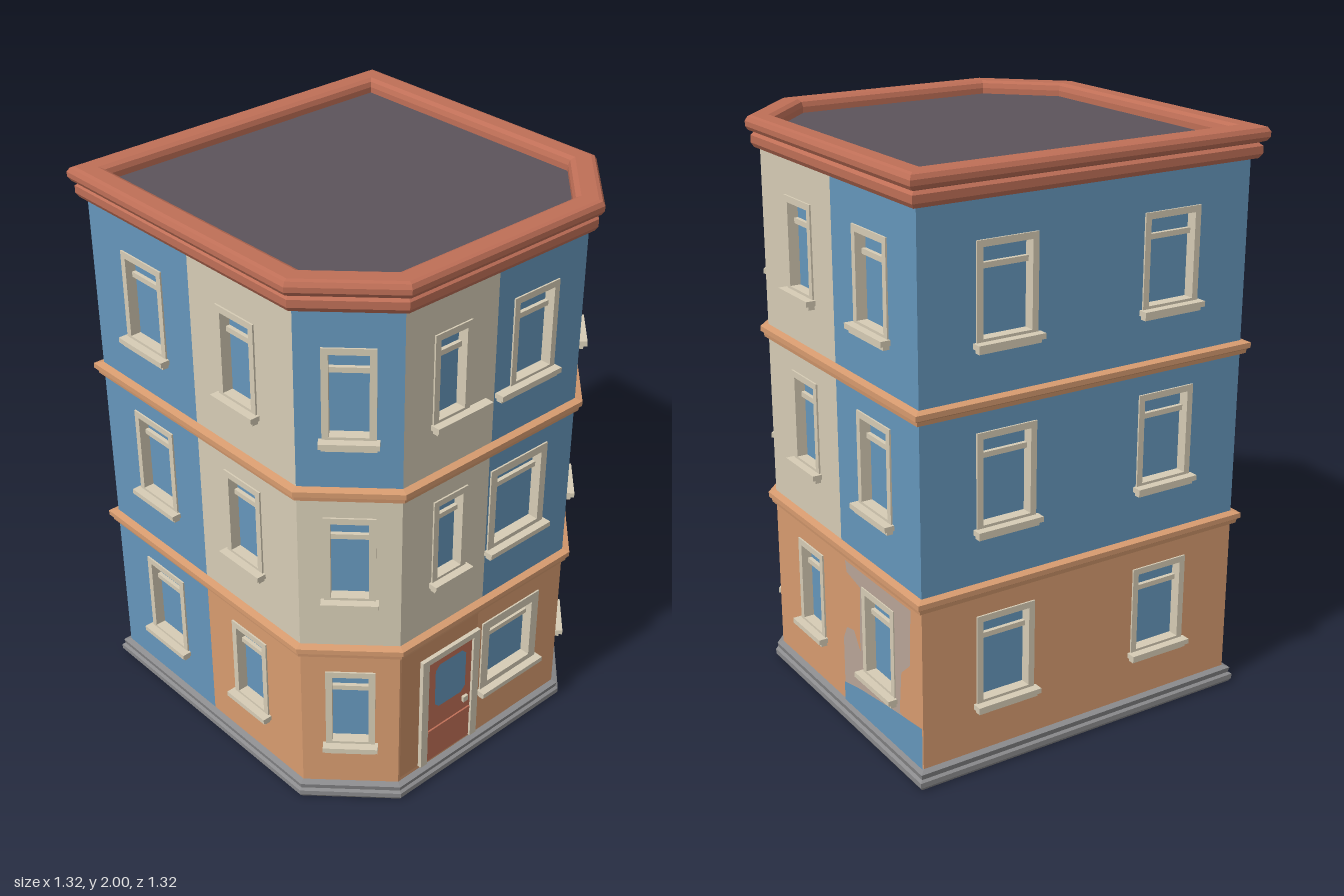
import * as THREE from 'three';

const mat = (name, color, side = THREE.FrontSide) => {
  const m = new THREE.MeshStandardMaterial({ color, side });
  m.name = name;
  return m;
};
const M = {
  blue: mat('bluePaint', 0x6596bb),
  cream: mat('creamPaint', 0xd6ccb5),
  orange: mat('orangePlaster', 0xd79b6f),
  brick: mat('redTerracotta', 0xbf6f57),
  grey: mat('greyStone', 0x8b8b8d),
  roof: mat('roofFelt', 0x5c535b),
  taupe: mat('wornPlaster', 0xb9a497),
  tan: mat('porchPlaster', 0xc98f66),
};

function add(parent, name, geo, material, x = 0, y = 0, z = 0) {
  const mesh = new THREE.Mesh(geo, material);
  mesh.name = name;
  mesh.position.set(x, y, z);
  parent.add(mesh);
  return mesh;
}

const box = (parent, name, w, h, d, material, x, y, z) =>
  add(parent, name, new THREE.BoxGeometry(w, h, d), material, x, y, z);

const poly = (pts) => new THREE.Shape(pts.map(([x, y]) => new THREE.Vector2(x, y)));
const rect = (x0, x1, y0, y1) => poly([[x0, y0], [x1, y0], [x1, y1], [x0, y1]]);

// Footprint with two cut front corners, grown outward by o
function outline(o) {
  const a = 0.62 + o, c = 0.39 + 0.414 * o;
  return [[-c, a], [c, a], [a, c], [a, -a], [-a, -a], [-a, c]];
}

// Moulding swept round the footprint; profile = [offset, y] going upward outside
function moulding(parent, name, profile, material) {
  const pos = [];
  for (let k = 0; k < profile.length - 1; k++) {
    const [o0, y0] = profile[k], [o1, y1] = profile[k + 1];
    const lo = outline(o0), hi = outline(o1);
    for (let i = 0; i < 6; i++) {
      const j = (i + 1) % 6;
      const A = [lo[i][0], y0, lo[i][1]], B = [lo[j][0], y0, lo[j][1]];
      const C = [hi[j][0], y1, hi[j][1]], D = [hi[i][0], y1, hi[i][1]];
      pos.push(...A, ...B, ...C, ...A, ...C, ...D);
    }
  }
  const geo = new THREE.BufferGeometry();
  geo.setAttribute('position', new THREE.Float32BufferAttribute(pos, 3));
  geo.computeVertexNormals();
  return add(parent, name, geo, material);
}

// Flat slab face covering the footprint
function cap(parent, name, o, y, up, material) {
  const pts = outline(o).map(([x, z]) => [x, up ? -z : z]);
  const mesh = add(parent, name, new THREE.ShapeGeometry(poly(pts)), material, 0, y, 0);
  mesh.rotation.x = up ? -Math.PI / 2 : Math.PI / 2;
}

// Recessed window: frame, glass, transom and sill
function windowUnit(parent, { u, w, y0, y1, f = 0.022, sill = 0.02, shift = 0 }) {
  const g = new THREE.Group();
  g.name = 'window';
  parent.add(g);
  const ring = rect(u - w / 2, u + w / 2, y0, y1);
  ring.holes.push(rect(u - w / 2 + f, u + w / 2 - f, y0 + f, y1 - f));
  add(g, 'windowFrame', new THREE.ExtrudeGeometry(ring, { depth: 0.046, bevelEnabled: false }), M.cream, 0, 0, -0.04);
  add(g, 'windowGlass', new THREE.PlaneGeometry(w - 0.01, y1 - y0 - 0.01), M.blue, u, (y0 + y1) / 2, -0.032);
  box(g, 'transom', w - 2 * f, 0.018, 0.016, M.cream, u, y1 - 0.085, -0.026);
  box(g, 'windowSill', w + sill, 0.018, 0.042, M.cream, u + shift, y0 + 0.004, 0.013);
  box(g, 'sillLip', w + sill - 0.015, 0.014, 0.03, M.cream, u + shift, y0 - 0.012, 0.007);
}

// One side of the house; floors = per storey list of [u0, u1, material], windows per storey
const LEVELS = [[0.05, 0.635], [0.65, 1.255], [1.265, 1.91]];
function facade(parent, name, [ax, az], [bx, bz], floors, windows) {
  const g = new THREE.Group();
  g.name = name;
  g.position.set((ax + bx) / 2, 0, (az + bz) / 2);
  g.rotation.y = Math.atan2(-(bz - az), bx - ax);
  parent.add(g);
  floors.forEach((segments, level) => {
    const [y0, y1] = LEVELS[level];
    for (const [u0, u1, material] of segments) {
      const shape = rect(u0, u1, y0, y1);
      for (const q of windows[level]) {
        if (q.u > u0 && q.u < u1)
          shape.holes.push(rect(q.u - q.w / 2 + 0.01, q.u + q.w / 2 - 0.01, q.y0 + 0.01, q.y1 - 0.01));
      }
      add(g, 'wallPanel', new THREE.ShapeGeometry(shape), material);
    }
    windows[level].forEach((q) => windowUnit(g, q));
  });
  return g;
}

// Same window columns on every storey
const ROWS = [[0.225, 0.55], [0.84, 1.17], [1.445, 1.77]];
const columns = (list) => ROWS.map(([y0, y1]) => list.map(([u, w]) => ({ u, w, y0, y1 })));

function frontDoor(g) {
  const door = new THREE.Group();
  door.name = 'frontDoor';
  g.add(door);
  const x = -0.165;
  add(door, 'porchPanel', new THREE.ShapeGeometry(rect(-0.385, -0.03, 0.08, 0.62)), M.tan, 0, 0, 0.003);
  const frame = poly([[-0.3, 0.08], [-0.27, 0.08], [-0.27, 0.525], [-0.06, 0.525], [-0.06, 0.08], [-0.03, 0.08], [-0.03, 0.548], [-0.3, 0.548]]);
  add(door, 'doorFrame', new THREE.ExtrudeGeometry(frame, { depth: 0.018, bevelEnabled: false }), M.cream);
  box(door, 'doorLeaf', 0.212, 0.445, 0.01, M.brick, x, 0.3025, 0.004);
  box(door, 'doorRail', 0.2, 0.012, 0.008, M.brick, x, 0.215, 0.011);
  const pane = poly([[-0.215, 0.31], [-0.11, 0.31], [-0.09, 0.33], [-0.09, 0.475], [-0.11, 0.495], [-0.215, 0.495], [-0.235, 0.475], [-0.235, 0.33]]);
  add(door, 'doorGlass', new THREE.ShapeGeometry(pane), M.blue, 0, 0, 0.012);
  box(door, 'doorHandle', 0.022, 0.022, 0.012, M.cream, -0.09, 0.272, 0.014);
}

// Weathered paint on the ground floor of the left side
function wornPaint(g) {
  const patch = poly([[-0.015, 0.1], [0.505, 0.16], [0.36, 0.2], [0.375, 0.35], [0.43, 0.4], [0.44, 0.6], [0.01, 0.6], [0.02, 0.56], [0.11, 0.54], [0.1, 0.3], [0.06, 0.36], [0.01, 0.35], [-0.015, 0.3]]);
  patch.holes.push(rect(0.135, 0.325, 0.235, 0.54));
  add(g, 'wornPatch', new THREE.ShapeGeometry(patch), M.taupe, 0, 0, 0.002);
  const low = poly([[-0.015, 0.05], [0.505, 0.05], [0.505, 0.21], [0.3, 0.185], [0.1, 0.155], [-0.015, 0.13]]);
  add(g, 'bluePatch', new THREE.ShapeGeometry(low), M.blue, 0, 0, 0.004);
}

export function createModel() {
  const house = new THREE.Group();
  house.name = 'cornerHouse';
  const { blue, cream, orange } = M;
  const P = outline(0);
  const whole = (h, ...mats) => mats.map((m) => [[-h, h, m]]);

  // Front with door
  const front = facade(house, 'frontWall', P[0], P[1],
    [[[-0.39, 0.39, orange]],
      [[-0.39, -0.01, cream], [-0.01, 0.39, blue]],
      [[-0.39, -0.005, cream], [-0.005, 0.39, blue]]],
    [[{ u: 0.135, w: 0.28, y0: 0.24, y1: 0.545, f: 0.034 }],
      [{ u: -0.183, w: 0.15, y0: 0.845, y1: 1.17 }, { u: 0.13, w: 0.265, y0: 0.845, y1: 1.17, f: 0.028 }],
      [{ u: -0.195, w: 0.155, y0: 1.45, y1: 1.77, sill: 0.08, shift: 0.035 },
        { u: 0.165, w: 0.2, y0: 1.45, y1: 1.77, sill: 0.07, shift: -0.03 }]]);
  frontDoor(front);

  // Cut corners
  const corner = columns([[0, 0.165]]);
  facade(house, 'leftCorner', P[1], P[2], whole(0.1627, orange, blue, blue), corner);
  facade(house, 'rightCorner', P[5], P[0], whole(0.1627, orange, cream, blue), corner);

  // Long sides
  const left = facade(house, 'leftWall', P[2], P[3],
    [orange, cream, cream].map((m, i) => [[-0.505, -0.015, m], [-0.015, 0.505, i ? blue : orange]]),
    columns([[-0.24, 0.18], [0.23, 0.21]]));
  wornPaint(left);
  facade(house, 'rightWall', P[4], P[5],
    [orange, cream, cream].map((m) => [[-0.505, 0.015, blue], [0.015, 0.505, m]]),
    columns([[-0.23, 0.21], [0.24, 0.18]]));

  // Back
  facade(house, 'backWall', P[3], P[4], whole(0.62, orange, blue, blue), columns([[-0.31, 0.22], [0.31, 0.22]]));

  // Plinth and storey bands
  moulding(house, 'plinth', [[0.018, 0], [0.026, 0.012], [0.026, 0.03], [0.016, 0.036], [0.02, 0.055], [0, 0.062]], M.grey);
  cap(house, 'underside', 0.018, 0, false, M.grey);
  for (const y of [0.62, 1.238]) {
    moulding(house, 'storeyBand',
      [[0, y], [0.014, y + 0.002], [0.016, y + 0.016], [0.025, y + 0.022], [0.025, y + 0.04], [0, y + 0.046]], orange);
  }

  // Cornice, parapet and flat roof
  moulding(house, 'cornice',
    [[0, 1.89], [0.018, 1.895], [0.027, 1.91], [0.027, 1.935], [0.016, 1.945], [0.034, 1.952], [0.042, 1.965], [0.042, 1.982],
      [0.034, 1.996], [0.022, 2], [-0.03, 2], [-0.046, 1.992], [-0.052, 1.975], [-0.052, 1.945]], M.brick);
  cap(house, 'flatRoof', -0.05, 1.955, true, M.roof);
  return house;
}
